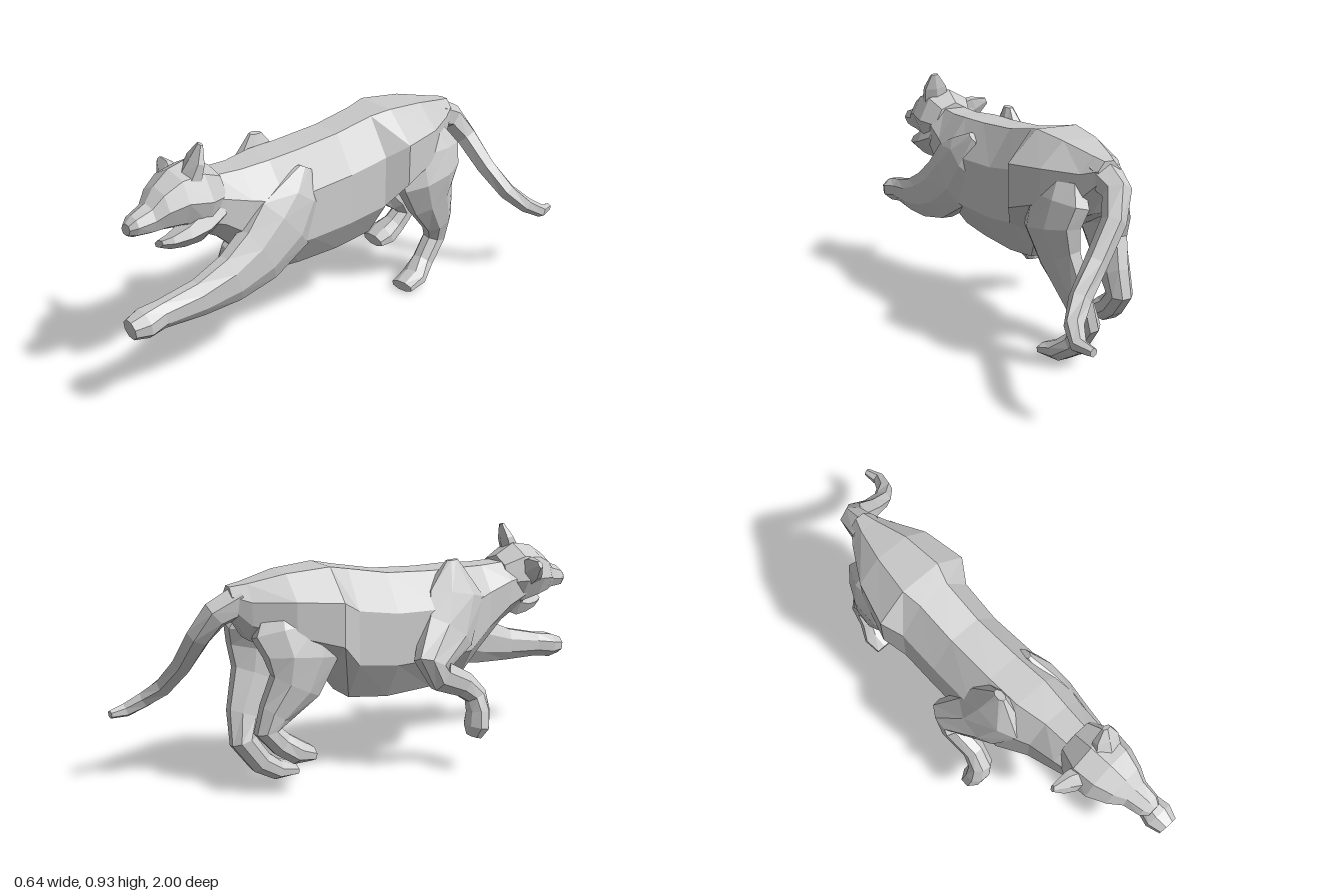
import * as THREE from 'three';

const fur = new THREE.MeshStandardMaterial({ color: 0xcccccc });
fur.name = 'grey fur';
fur.flatShading = true;

// Skin a row of sections [x, y, z, halfWidth, halfDepth] with flat facets.
// Rings face along the path, or along `axis` when one is given.
function loft(name, sections, sides = 8, axis = null) {
  const centres = sections.map((s) => new THREE.Vector3(s[0], s[1], s[2]));
  const last = sections.length - 1;
  const grow = 1 / Math.cos(Math.PI / sides);
  const rings = sections.map((s, i) => {
    const t = axis ? axis.clone() : centres[Math.min(i + 1, last)].clone().sub(centres[Math.max(i - 1, 0)]).normalize();
    const side = new THREE.Vector3(1, 0, 0).addScaledVector(t, -t.x).normalize();
    const up = t.clone().cross(side);
    return Array.from({ length: sides }, (_, k) => {
      const a = ((k + 0.5) / sides) * Math.PI * 2;
      return centres[i].clone()
        .addScaledVector(side, Math.cos(a) * s[3] * grow)
        .addScaledVector(up, Math.sin(a) * s[4] * grow);
    });
  });
  const pos = [];
  const tri = (...pts) => pts.forEach((p) => pos.push(p.x, p.y, p.z));
  for (let k = 0; k < sides; k++) {
    const n = (k + 1) % sides;
    for (let i = 0; i < last; i++) {
      tri(rings[i][k], rings[i][n], rings[i + 1][n]);
      tri(rings[i][k], rings[i + 1][n], rings[i + 1][k]);
    }
    tri(centres[0], rings[0][n], rings[0][k]);
    tri(centres[last], rings[last][k], rings[last][n]);
  }
  const geo = new THREE.BufferGeometry();
  geo.setAttribute('position', new THREE.Float32BufferAttribute(pos, 3));
  geo.computeVertexNormals();
  const mesh = new THREE.Mesh(geo, fur);
  mesh.name = name;
  return mesh;
}

const FORWARD = new THREE.Vector3(0, 0, 1);

function createHead() {
  const head = new THREE.Group();
  head.name = 'head';
  // skull tapering into the muzzle
  head.add(loft('skull', [
    [0, -0.01, -0.16, 0.085, 0.09],
    [0, 0.0, -0.08, 0.118, 0.125],
    [0, 0.01, 0.01, 0.112, 0.1],
    [0, -0.005, 0.08, 0.085, 0.075],
    [0, -0.027, 0.125, 0.056, 0.052],
    [0, -0.035, 0.19, 0.046, 0.036],
    [0, -0.04, 0.215, 0.026, 0.02],
  ], 8, FORWARD));
  // open lower jaw running back into the cheeks
  head.add(loft('lowerJaw', [
    [-0.01, -0.07, -0.14, 0.085, 0.06],
    [-0.015, -0.105, -0.06, 0.09, 0.055],
    [-0.015, -0.125, 0.01, 0.07, 0.036],
    [-0.015, -0.13, 0.07, 0.048, 0.022],
    [-0.015, -0.125, 0.105, 0.026, 0.012],
  ], 6, FORWARD));
  // ears leaning outwards
  for (const s of [1, -1]) {
    head.add(loft(s > 0 ? 'leftEar' : 'rightEar', [
      [s * 0.07, 0.06, -0.05, 0.052, 0.035],
      [s * 0.11, 0.11, -0.07, 0.046, 0.022],
      [s * 0.145, 0.155, -0.085, 0.014, 0.008],
    ], 6));
  }
  // tilted towards the right shoulder
  head.position.set(0.01, 0.73, 0.72);
  head.rotation.set(0, 0.06, 0.49);
  return head;
}

export function createModel() {
  const cat = new THREE.Group();
  cat.name = 'prowlingCat';

  // rump, flaring haunches, belly, chest and neck
  cat.add(loft('body', [
    [-0.015, 0.74, -0.62, 0.045, 0.055],
    [-0.02, 0.7, -0.56, 0.085, 0.105],
    [-0.02, 0.68, -0.42, 0.165, 0.155],
    [-0.025, 0.65, -0.25, 0.205, 0.2],
    [-0.03, 0.585, -0.17, 0.16, 0.25],
    [-0.03, 0.56, 0.0, 0.155, 0.245],
    [-0.02, 0.56, 0.2, 0.16, 0.235],
    [-0.01, 0.57, 0.34, 0.165, 0.225],
    [0.0, 0.62, 0.46, 0.125, 0.17],
    [0, 0.675, 0.57, 0.11, 0.12],
    [0, 0.7, 0.68, 0.085, 0.085],
  ], 8, FORWARD));

  cat.add(createHead());

  // front leg reaching forward
  cat.add(loft('leftFrontLeg', [
    [0.09, 0.74, 0.2, 0.015, 0.03],
    [0.1, 0.65, 0.25, 0.055, 0.11],
    [0.11, 0.56, 0.33, 0.066, 0.15],
    [0.125, 0.475, 0.45, 0.06, 0.125],
    [0.135, 0.425, 0.58, 0.052, 0.095],
    [0.135, 0.395, 0.72, 0.045, 0.068],
    [0.125, 0.38, 0.87, 0.042, 0.05],
    [0.125, 0.37, 0.94, 0.058, 0.05],
    [0.125, 0.365, 0.995, 0.04, 0.035],
  ]));

  // front leg folded at the elbow, paw hanging
  cat.add(loft('rightFrontLeg', [
    [-0.11, 0.835, 0.28, 0.015, 0.025],
    [-0.115, 0.7, 0.29, 0.065, 0.125],
    [-0.16, 0.56, 0.23, 0.066, 0.115],
    [-0.23, 0.455, 0.12, 0.05, 0.07],
    [-0.235, 0.41, 0.16, 0.045, 0.06],
    [-0.225, 0.36, 0.27, 0.042, 0.05],
    [-0.235, 0.31, 0.32, 0.045, 0.042],
    [-0.25, 0.25, 0.325, 0.052, 0.042],
    [-0.255, 0.19, 0.315, 0.062, 0.042],
    [-0.255, 0.15, 0.305, 0.036, 0.026],
  ]));

  // hind leg standing
  cat.add(loft('leftHindLeg', [
    [0.05, 0.72, -0.43, 0.05, 0.1],
    [0.075, 0.63, -0.43, 0.07, 0.165],
    [0.1, 0.53, -0.43, 0.07, 0.15],
    [0.085, 0.42, -0.465, 0.055, 0.11],
    [0.055, 0.28, -0.54, 0.045, 0.07],
    [0.025, 0.185, -0.56, 0.042, 0.05],
    [0.03, 0.09, -0.49, 0.042, 0.045],
    [0.05, 0.043, -0.42, 0.055, 0.038],
    [0.062, 0.028, -0.34, 0.05, 0.022],
  ]));

  // hind leg lifted
  cat.add(loft('rightHindLeg', [
    [-0.08, 0.72, -0.41, 0.05, 0.1],
    [-0.11, 0.63, -0.4, 0.075, 0.16],
    [-0.145, 0.53, -0.39, 0.068, 0.14],
    [-0.15, 0.43, -0.42, 0.055, 0.1],
    [-0.135, 0.33, -0.495, 0.05, 0.062],
    [-0.135, 0.265, -0.525, 0.045, 0.05],
    [-0.14, 0.21, -0.475, 0.048, 0.045],
    [-0.15, 0.175, -0.42, 0.065, 0.045],
    [-0.15, 0.16, -0.36, 0.055, 0.026],
  ]));

  // tail dropping and sweeping out to the left
  cat.add(loft('tail', [
    [-0.02, 0.74, -0.57, 0.06, 0.055],
    [-0.015, 0.695, -0.67, 0.045, 0.048],
    [0.03, 0.61, -0.72, 0.038, 0.042],
    [0.12, 0.49, -0.755, 0.036, 0.036],
    [0.21, 0.39, -0.8, 0.035, 0.032],
    [0.27, 0.33, -0.86, 0.03, 0.028],
    [0.295, 0.29, -0.93, 0.024, 0.024],
    [0.28, 0.285, -0.995, 0.014, 0.014],
  ], 6));

  return cat;
}
